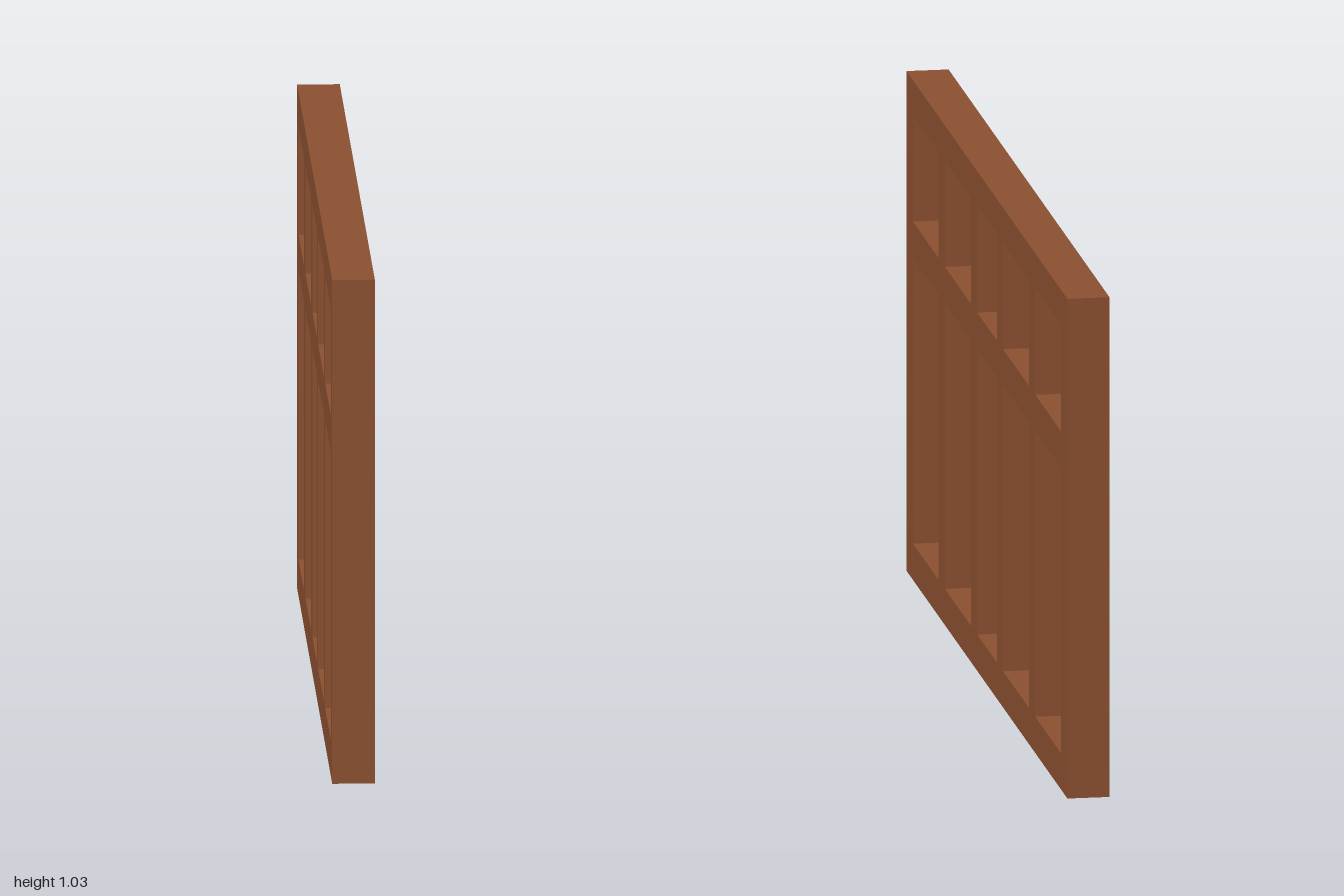
import * as THREE from 'three';

const DEPTH = 0.086;
const HEIGHT = 1.035;

// Rectangle outline, usable for both the shape and its holes
function rectangle(path, x0, x1, y0, y1) {
  path.moveTo(x0, y0);
  path.lineTo(x1, y0);
  path.lineTo(x1, y1);
  path.lineTo(x0, y1);
  path.closePath();
  return path;
}

export function createModel() {
  const group = new THREE.Group();
  group.name = 'windowFrame';
  const wood = new THREE.MeshStandardMaterial({ color: 0x8b5030 });
  wood.name = 'brownWood';

  // Openings between the posts (columns) and between the rails (rows)
  const columns = [[-0.92, -0.6], [-0.523, -0.2], [-0.122, 0.122], [0.2, 0.523], [0.6, 0.92]];
  const rows = [[0.075, 0.667], [0.742, 0.963]];

  const outline = rectangle(new THREE.Shape(), -1, 1, 0, HEIGHT);
  for (const [x0, x1] of columns) {
    for (const [y0, y1] of rows) {
      outline.holes.push(rectangle(new THREE.Path(), x0, x1, y0, y1));
    }
  }

  // Lattice of posts and rails in one solid piece, turned to run along z
  const geometry = new THREE.ExtrudeGeometry(outline, { depth: DEPTH, bevelEnabled: false });
  geometry.translate(0, 0, -DEPTH / 2);
  geometry.rotateY(Math.PI / 2);

  const frame = new THREE.Mesh(geometry, wood);
  frame.name = 'latticeFrame';
  group.add(frame);
  return group;
}
